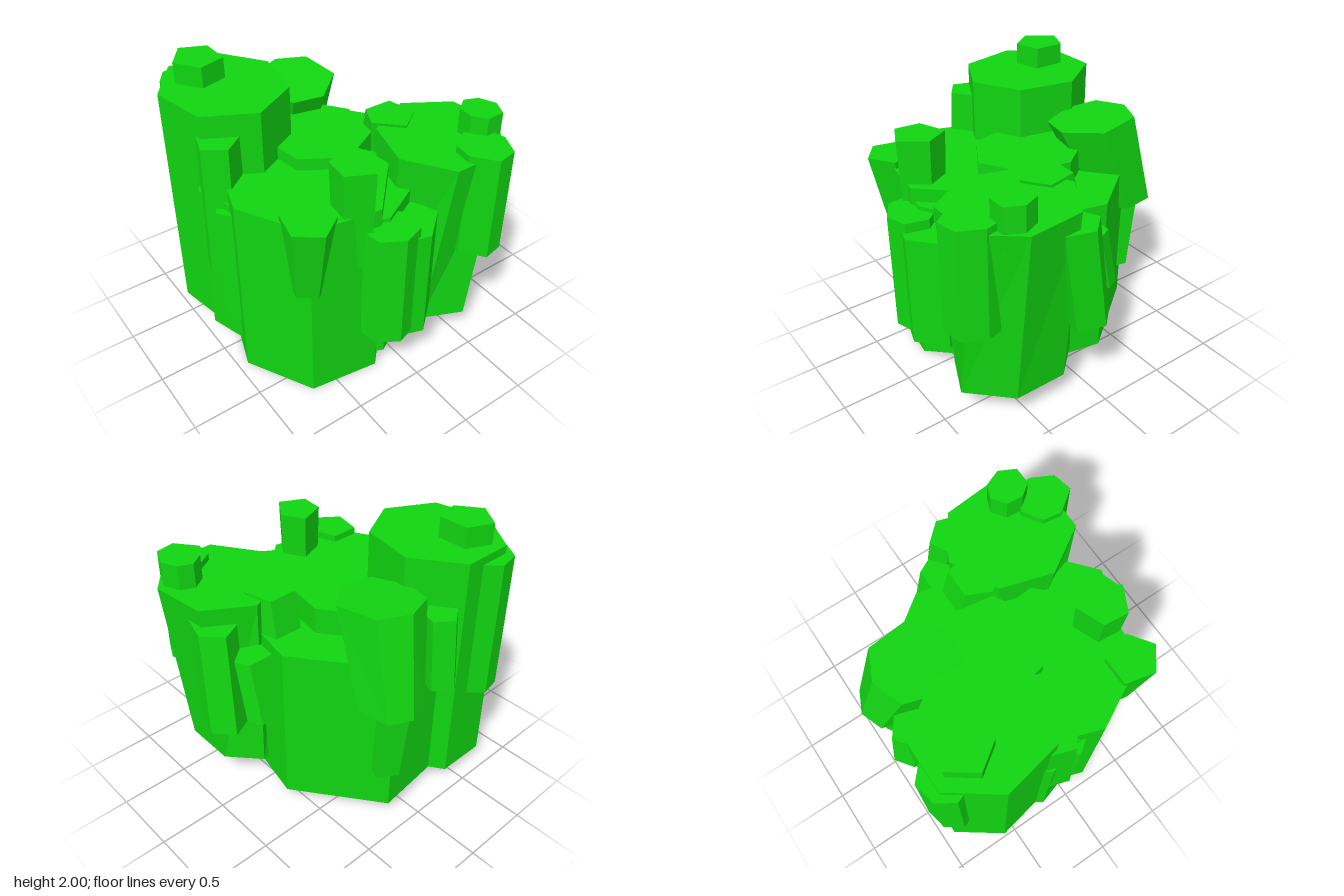
import * as THREE from 'three';

const material = new THREE.MeshStandardMaterial({ color: 0x11d411, flatShading: true });

// One crystal: a top outline [x, z] joined to a base outline.
// The base is given, or made from the top by a shift and a scale.
function crystal(name, outline, yBase, yTop, { base, shift = [0, 0], scale = 1, tilt = [0, 0] } = {}) {
  const n = outline.length;
  const cx = outline.reduce((s, p) => s + p[0], 0) / n;
  const cz = outline.reduce((s, p) => s + p[1], 0) / n;
  const lower = base || outline.map(([x, z]) => [
    cx + (x - cx) * scale + shift[0],
    cz + (z - cz) * scale + shift[1],
  ]);
  const area = outline.reduce((s, p, i) => {
    const q = outline[(i + 1) % n];
    return s + p[0] * q[1] - q[0] * p[1];
  }, 0);

  const positions = [];
  for (const [x, z] of outline) positions.push(x, yTop + (x - cx) * tilt[0] + (z - cz) * tilt[1], z);
  for (const [x, z] of lower) positions.push(x, yBase, z);

  const index = [];
  const face = (a, b, c) => (area > 0 ? index.push(a, b, c) : index.push(a, c, b));
  for (let i = 0; i < n; i++) {
    const j = (i + 1) % n;
    face(i, j, n + i);
    face(j, n + j, n + i);
    if (i > 0 && i < n - 1) {
      face(0, j, i);
      face(n, n + i, n + j);
    }
  }
  const indexed = new THREE.BufferGeometry();
  indexed.setAttribute('position', new THREE.Float32BufferAttribute(positions, 3));
  indexed.setIndex(index);
  const geometry = indexed.toNonIndexed();
  geometry.computeVertexNormals();
  const mesh = new THREE.Mesh(geometry, material);
  mesh.name = name;
  return mesh;
}

// Regular outline round a centre
function ring(x, z, r, n, degrees = 0) {
  return Array.from({ length: n }, (_, i) => {
    const a = (degrees + (360 * i) / n) * Math.PI / 180;
    return [x + r * Math.cos(a), z + r * Math.sin(a)];
  });
}

export function createModel() {
  const group = new THREE.Group();
  group.name = 'crystalCluster';
  const add = (...args) => group.add(crystal(...args));

  // Large columns
  add('tallColumn', [[-0.76, -0.91], [-0.39, -0.91], [-0.16, -0.58], [-0.24, -0.18],
    [-0.57, 0], [-0.91, -0.18], [-0.99, -0.59]], 0.1, 1.85);
  add('frontColumn', [[-0.93, 0.22], [-0.68, 0.69], [-0.19, 0.76], [0.16, 0.39],
    [0.11, -0.15], [-0.28, -0.45], [-0.745, -0.32]], 0, 1.4);
  add('wideColumn', [[0.61, -0.27], [0.46, 0.45], [-0.12, 0.76], [-0.75, 0.48],
    [-0.96, -0.2], [-0.56, -0.78], [0.17, -0.86]], 0.1, 1.3);
  add('middleColumn', [[-0.09, 0.29], [0.22, 0.12], [0.28, -0.22], [0.02, -0.58],
    [-0.3, -0.52], [-0.43, -0.2], [-0.38, 0.11]], 0.3, 1.49);
  add('twistedColumn', [[0.11, 0.55], [0.32, 0.88], [0.72, 0.88], [0.94, 0.61],
    [0.9, 0.2], [0.58, 0], [0.22, 0.17]], 0.2, 1.54, {
    base: [[0.16, 0.4], [0.24, 0.75], [0.53, 0.88], [0.8, 0.61], [0.8, 0.22], [0.6, 0], [0.27, 0.05]],
  });
  add('leaningColumn', [[-0.14, -0.8], [0.08, -0.88], [0.29, -0.78], [0.33, -0.47],
    [0.1, -0.28], [-0.12, -0.33], [-0.2, -0.58]], 0.99, 1.65,
  { shift: [0.1, -0.22], scale: 0.76, tilt: [0.05, -0.09] });

  // Small caps on the large columns
  add('tallColumnCap', [[-0.7, -0.84], [-0.52, -0.76], [-0.52, -0.54], [-0.71, -0.49], [-0.83, -0.66]], 1.7, 2);
  add('twistedColumnCap', [[0.64, 0.52], [0.74, 0.45], [0.84, 0.49], [0.89, 0.61],
    [0.83, 0.73], [0.7, 0.73], [0.63, 0.64]], 1.4, 1.72);

  // Upright side crystals
  add('frontLeftCrystal', [[-0.43, 0.53], [-0.23, 0.45], [-0.14, 0.62], [-0.27, 0.8], [-0.45, 0.71]],
    0.99, 1.72, { scale: 0.85 });
  add('frontCrystal', [[-0.32, 0.72], [-0.3, 0.88], [-0.15, 0.97], [0, 0.92], [0.04, 0.76], [-0.1, 0.6]], 0.39, 1.27);
  add('frontLowCrystal', [[-0.06, 0.92], [0.06, 0.96], [0.26, 0.79], [0.2, 0.6], [-0.06, 0.6]], 0.36, 1.2);
  add('frontRightCrystal', [[0.44, 0.84], [0.56, 1], [0.71, 0.97], [0.79, 0.81],
    [0.76, 0.68], [0.6, 0.61], [0.46, 0.7]], 0.8, 1.59);
  add('backCrystal', [[-0.78, -0.97], [-0.63, -1], [-0.52, -0.9], [-0.6, -0.75],
    [-0.82, -0.75], [-0.86, -0.85]], 0.76, 1.79);
  add('sideLowCrystal', ring(-0.85, 0.02, 0.11, 5, 180), 0.32, 1.25);

  // Leaning side crystals
  add('leaningFrontCrystal', [[-0.77, 0.49], [-0.56, 0.49], [-0.49, 0.71], [-0.66, 0.83], [-0.82, 0.71]],
    0.87, 1.45, { shift: [0.02, -0.06], scale: 0.72 });
  add('leaningSideCrystal', ring(-0.83, -0.12, 0.15, 5, 90), 0.72, 1.69,
    { shift: [-0.03, 0.03] });
  add('leaningRightCrystal', [[0.7, 0.07], [0.84, 0], [0.96, 0.13], [0.9, 0.33], [0.72, 0.3]],
    0.67, 1.41, { shift: [0.04, -0.09] });
  add('leaningMiddleCrystal', [[0.3, -0.05], [0.51, -0.05], [0.56, 0.17], [0.39, 0.29], [0.22, 0.12]],
    0.8, 1.56, { shift: [0.03, -0.17] });
  add('leaningLowCrystal', [[0.59, -0.14], [0.77, -0.14], [0.82, -0.04], [0.7, 0.06], [0.57, 0]],
    0.79, 1.23, { shift: [0, -0.1] });
  add('leaningBackCrystal', ring(-0.25, -0.83, 0.13, 5, -90), 1, 1.52, { shift: [0.01, -0.05] });
  add('leaningBackLowCrystal', ring(0.15, -0.86, 0.13, 5, -90), 0.41, 1.1, { shift: [0, 0.07] });

  return group;
}
